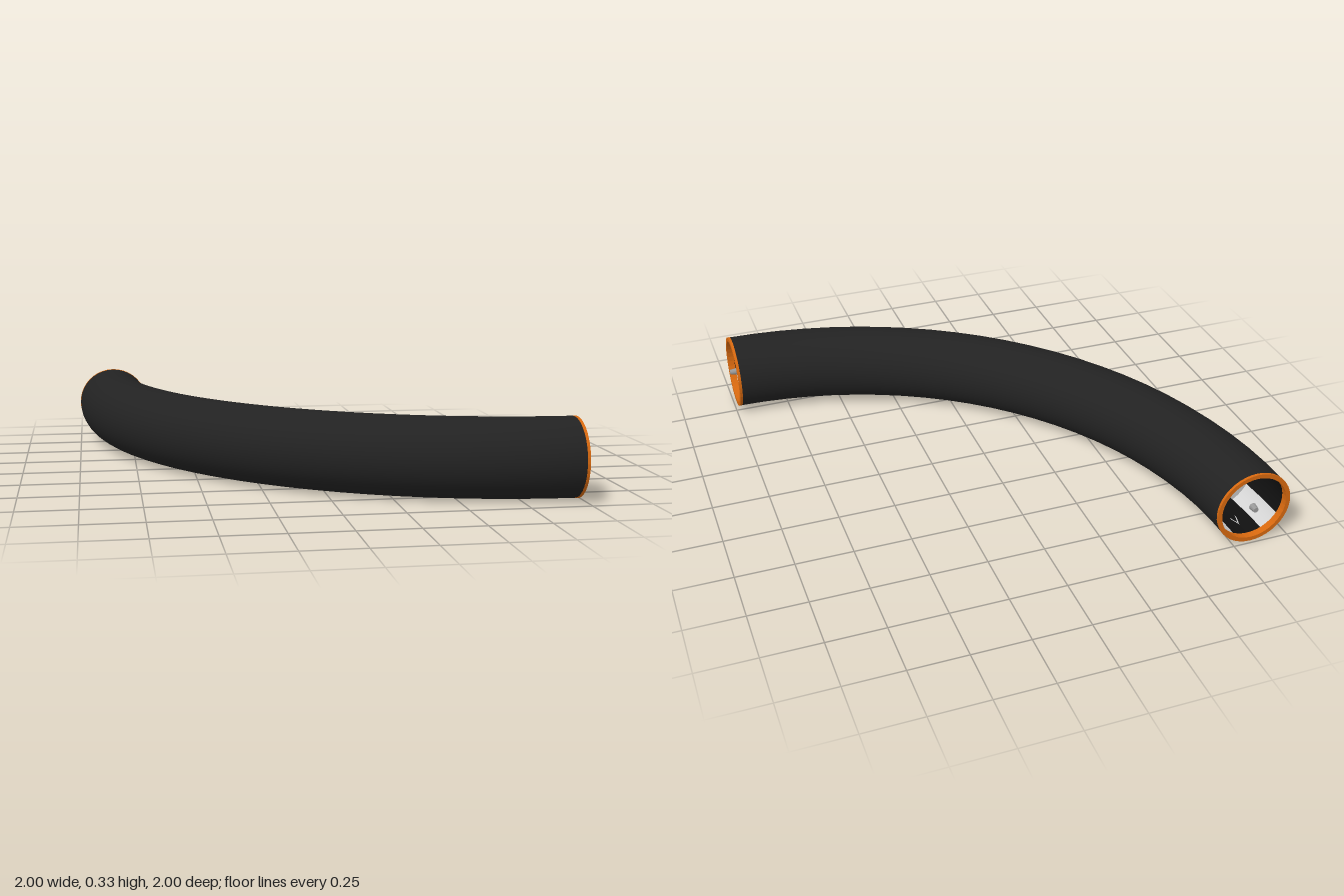
import * as THREE from 'three';
import { ParametricGeometry } from 'three/addons/geometries/ParametricGeometry.js';

const END = 0.985, BEND = 1.818, OUTER = 0.166, INNER = 0.15, MID_Y = 0.167;
const QUARTER = Math.PI / 2, DEG = Math.PI / 180;

const mat = (name, color, side = THREE.FrontSide) => {
  const m = new THREE.MeshStandardMaterial({ color, side });
  m.name = name;
  return m;
};

// Point on the bent tube: u runs along the bend, a around it (0 = outside of the bend)
function tubePoint(u, a, r, target) {
  const d = BEND + r * Math.cos(a);
  target.set(END - d * Math.cos(u), MID_Y + r * Math.sin(a), -END + d * Math.sin(u));
}

// Curved patch of the tube; it faces inward when a1 < a0. slant shifts u along a.
function patch(r, u0, u1, a0, a1, nu, na, slant = 0) {
  return new ParametricGeometry((s, t, p) =>
    tubePoint(u0 + (u1 - u0) * s + slant * t, a0 + (a1 - a0) * t, r, p), nu, na);
}

export function createModel() {
  const model = new THREE.Group();
  model.name = 'curvedTube';
  const shellMat = mat('charcoal shell', 0x222222);
  const bandMat = mat('black lining', 0x101010);
  const lightMat = mat('light grey panel', 0xd4d4d4);
  const greyMat = mat('mid grey panel', 0x9a9a9a);
  const orangeMat = mat('orange rim', 0xd8690f);
  const markMat = mat('pale marking', 0xcfcfcf, THREE.DoubleSide);

  const add = (name, geometry, material, parent = model) => {
    const mesh = new THREE.Mesh(geometry, material);
    mesh.name = name;
    parent.add(mesh);
    return mesh;
  };

  // Outer shell
  add('outerShell', patch(OUTER, 0, QUARTER, 0, Math.PI * 2, 24, 40), shellMat);

  // Black lining bands: outside of bend, ceiling, floor
  const bands = [['outerBand', 0, 30], ['ceilingBand', 90, 25], ['floorBand', 270, 25]];
  for (const [name, mid, half] of bands) {
    add(name, patch(INNER, 0, QUARTER, (mid + half) * DEG, (mid - half) * DEG, 24, 8), bandMat);
  }

  // Grey lining panels between the bands, alternating in tone along the bend
  const panels = [['upperPanel', 30, 65], ['innerPanel', 115, 245], ['lowerPanel', 295, 330]];
  const count = 24, step = QUARTER / count;
  for (const [name, a0, a1] of panels) {
    for (let i = 0; i < count; i++) {
      add(name, patch(INNER, i * step, (i + 1) * step, a1 * DEG, a0 * DEG, 1, 10),
        i % 4 === 2 ? greyMat : lightMat);
    }
  }

  // Chevrons and dashes on the black bands, mirrored towards both ends
  const markR = INNER - 0.002;
  for (const [name, mid] of bands) {
    const a = mid * DEG, w = 0.1;
    const start = name === 'outerBand' ? 0.3 : 0.05;
    for (const end of [0, 1]) {
      const at = d => (end ? QUARTER - d : d);
      const dir = end ? -1 : 1;
      for (const s of [-1, 1]) {
        add('chevron', patch(markR, at(start), at(start + 0.008), a, a + s * w, 1, 2, dir * 0.025), markMat);
      }
      for (const [d0, d1] of [[0.37, 0.43], [0.49, 0.53]]) {
        add('dash', patch(markR, at(d0), at(d1), a - w, a + w, 2, 2), markMat);
      }
    }
  }

  // Orange rim and small central stud at each open end
  const rimProfile = [[INNER - 0.002, -0.03], [OUTER - 0.001, -0.03], [OUTER - 0.001, -0.011],
    [OUTER + 0.001, -0.011], [OUTER + 0.001, 0.001], [INNER - 0.002, 0.001], [INNER - 0.002, -0.03]]
    .map(([x, y]) => new THREE.Vector2(x, y));
  const rimGeo = new THREE.LatheGeometry(rimProfile, 40).toNonIndexed();
  rimGeo.computeVertexNormals();
  const studGeo = new THREE.CylinderGeometry(0.012, 0.016, 0.03, 8);
  const makeEnd = name => {
    const group = new THREE.Group();
    group.name = name;
    add('rim', rimGeo, orangeMat, group);
    add('stud', studGeo, greyMat, group);
    model.add(group);
    return group;
  };
  const leftEnd = makeEnd('leftEnd');
  leftEnd.position.set(END, MID_Y, BEND - END);
  leftEnd.rotation.z = -QUARTER;
  const backEnd = makeEnd('backEnd');
  backEnd.position.set(END - BEND, MID_Y, -END);
  backEnd.rotation.x = -QUARTER;

  return model;
}
